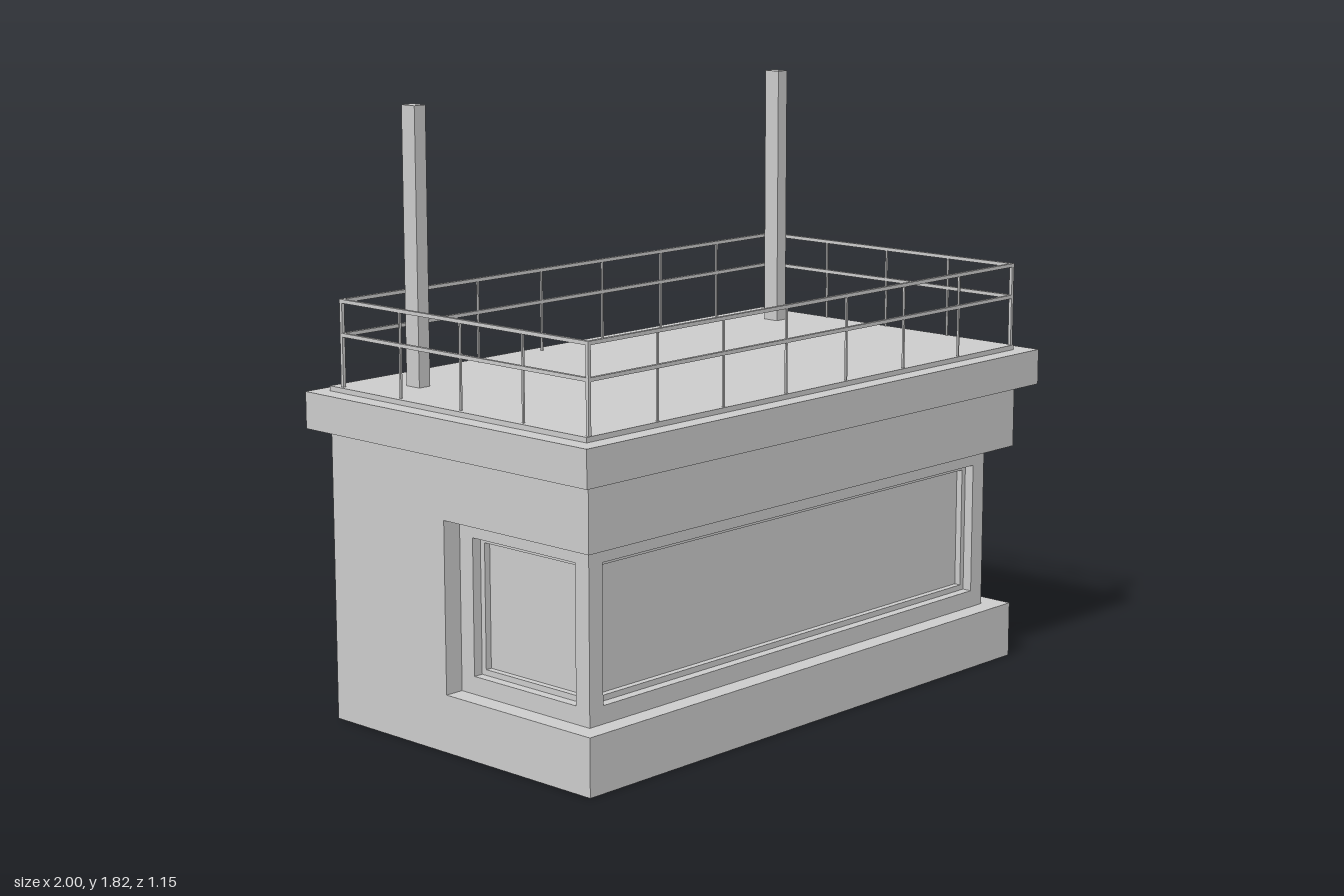
import * as THREE from 'three';

const grey = new THREE.MeshStandardMaterial({ color: 0xcccccc });
const sheet = new THREE.MeshStandardMaterial({ color: 0xcccccc, side: THREE.DoubleSide });

// Main dimensions
const X = 0.945, Z = 0.525, ZBACK = -0.528;      // outer walls
const SILL = 0.172, HEAD = 0.683, EAVE = 0.88;   // wall band heights
const XL = 0.875, XR = -0.885, ZF = 0.465;       // recessed window walls
const ZB = -0.05;                                // back end of the side recesses
const DX = 0.315, DZ = -0.39;                    // door recess

function add(parent, name, geometry, material = grey) {
  const mesh = new THREE.Mesh(geometry, material);
  mesh.name = name;
  parent.add(mesh);
  return mesh;
}

// Box given by its limits on each axis
function box(parent, name, x0, x1, y0, y1, z0, z1) {
  const mesh = add(parent, name, new THREE.BoxGeometry(x1 - x0, y1 - y0, z1 - z0));
  mesh.position.set((x0 + x1) / 2, (y0 + y1) / 2, (z0 + z1) / 2);
}

// Upright sheet wall that follows a plan path of [x, z] points
function wall(parent, name, path, y0, y1) {
  const pos = [];
  for (let i = 0; i < path.length - 1; i++) {
    const [ax, az] = path[i], [bx, bz] = path[i + 1];
    pos.push(ax, y0, az, bx, y0, bz, bx, y1, bz, ax, y0, az, bx, y1, bz, ax, y1, az);
  }
  const geo = new THREE.BufferGeometry();
  geo.setAttribute('position', new THREE.Float32BufferAttribute(pos, 3));
  geo.computeVertexNormals();
  add(parent, name, geo, sheet);
}

// Horizontal sheet from a plan outline, facing up or down
function plate(parent, name, outline, y, up) {
  const shape = new THREE.Shape(outline.map(([x, z]) => new THREE.Vector2(x, up ? -z : z)));
  const geo = new THREE.ShapeGeometry(shape).rotateX(up ? -Math.PI / 2 : Math.PI / 2);
  add(parent, name, geo, sheet).position.y = y;
}

// Rectangle with a rectangular hole; limits are [x0, x1, y0, y1]
function holedShape(outer, inner) {
  const corners = ([a, b, c, d]) => [[a, c], [b, c], [b, d], [a, d]].map(p => new THREE.Vector2(...p));
  const shape = new THREE.Shape(corners(outer));
  shape.holes.push(new THREE.Path(corners(inner).reverse()));
  return shape;
}

const grow = ([a, b, c, d], m) => [a - m, b + m, c - m, d + m];

// Rectangular frame of a given border inside its limits, from z0 to z1
function frame(parent, name, limits, border, z0, z1) {
  const geo = new THREE.ExtrudeGeometry(holedShape(limits, grow(limits, -border)),
    { depth: z1 - z0, bevelEnabled: false });
  add(parent, name, geo.translate(0, 0, z0));
}

// Pane filling its limits
function pane(parent, name, [a, b, c, d], z) {
  const mesh = add(parent, name, new THREE.PlaneGeometry(b - a, d - c), sheet);
  mesh.position.set((a + b) / 2, (c + d) / 2, z);
}

// Recessed sheet wall with a deep-set window, in local x and facing local +z
function windowWall(name, x0, x1, w0, w1) {
  const group = new THREE.Group();
  group.name = name;
  const opening = [w0, w1, 0.225, 0.631];
  add(group, name + 'Wall', new THREE.ShapeGeometry(holedShape([x0, x1, SILL, HEAD], opening)), sheet);
  frame(group, name + 'Reveal', grow(opening, 0.003), 0.003, -0.03, 0);
  frame(group, name + 'Frame', opening, 0.017, -0.052, -0.03);
  pane(group, name + 'Glass', opening, -0.05);
  return group;
}

function createBody() {
  const body = new THREE.Group();
  body.name = 'building';

  // Lower band, with the doorway left open at the back
  const backLeft = [[X, ZBACK], [DX, ZBACK], [DX, DZ]];
  const backRight = [[-DX, DZ], [-DX, ZBACK], [-X, ZBACK]];
  wall(body, 'baseWallLeft', [[X, Z], ...backLeft], 0, SILL);
  wall(body, 'baseWallRight', [...backRight, [-X, Z], [X, Z]], 0, SILL);

  // Middle band behind the window recess
  wall(body, 'middleWallLeft', [[XL, ZB], [X, ZB], ...backLeft], SILL, HEAD);
  wall(body, 'middleWallRight', [...backRight, [-X, ZB], [XR, ZB]], SILL, HEAD);

  // Upper band
  wall(body, 'upperWall', [[X, Z], [X, ZBACK], [-X, ZBACK], [-X, Z], [X, Z]], HEAD, EAVE);

  // Ledge and soffits of the recesses
  const ring = [[X, ZB], [X, Z], [-X, Z], [-X, ZB], [XR, ZB], [XR, ZF], [XL, ZF], [XL, ZB]];
  plate(body, 'windowLedge', ring, SILL, true);
  plate(body, 'windowSoffit', ring, HEAD, false);
  plate(body, 'doorSoffit', [[-DX, ZBACK], [DX, ZBACK], [DX, DZ], [-DX, DZ]], HEAD, false);

  // Front and side windows
  const front = windowWall('frontWindow', XR, XL, -0.832, 0.82);
  front.position.z = ZF;
  const left = windowWall('leftWindow', -ZF, -ZB, -0.412, -0.003);
  left.rotation.y = Math.PI / 2;
  left.position.x = XL;
  const right = windowWall('rightWindow', ZB, ZF, 0.003, 0.412);
  right.rotation.y = -Math.PI / 2;
  right.position.x = XR;
  body.add(front, left, right);

  // Double door at the back
  const doors = new THREE.Group();
  doors.name = 'doubleDoor';
  for (const [name, x0, x1] of [['rightDoor', 0, DX], ['leftDoor', -DX, 0]]) {
    frame(doors, name + 'Frame', [x0, x1, 0, HEAD], 0.01, -0.015, 0);
    pane(doors, name + 'Leaf', [x0, x1, 0, HEAD], -0.012);
  }
  doors.rotation.y = Math.PI;
  doors.position.z = DZ;
  body.add(doors);
  return body;
}

function createRailing() {
  const railing = new THREE.Group();
  railing.name = 'railing';
  const x0 = -0.929, x1 = 0.936, z0 = -0.488, z1 = 0.512, foot = 1.0, t = 0.0055;

  // Top and middle rails
  for (const y of [1.257, 1.158]) {
    for (const z of [z0, z1]) box(railing, 'longRail', x0 - t, x1 + t, y - t, y + t, z - t, z + t);
    for (const x of [x0, x1]) box(railing, 'shortRail', x - t, x + t, y - t, y + t, z0, z1);
  }

  // Posts, thicker at the corners
  const post = (x, z, r) => box(railing, 'railPost', x - r, x + r, foot, 1.257, z - r, z + r);
  for (let i = 0; i <= 7; i++) {
    const r = i % 7 ? 0.003 : 0.005;
    for (const z of [z0, z1]) post(x0 + (x1 - x0) * i / 7, z, r);
  }
  for (let i = 1; i < 4; i++) {
    for (const x of [x0, x1]) post(x, z0 + (z1 - z0) * i / 4, 0.003);
  }
  return railing;
}

export function createModel() {
  const model = new THREE.Group();
  model.name = 'kiosk';
  model.add(createBody());

  // Roof slab and the thin deck on it
  box(model, 'roofSlab', -1, 1, EAVE, 0.99, -0.575, 0.575);
  box(model, 'roofDeck', -X, 0.943, 0.99, 1.005, -0.53, 0.52);
  model.add(createRailing());

  // Tall posts on the roof
  for (const x of [-0.772, 0.793]) {
    box(model, 'roofPost', x - 0.021, x + 0.021, 1.005, 1.82, -0.368, -0.313);
  }
  return model;
}
